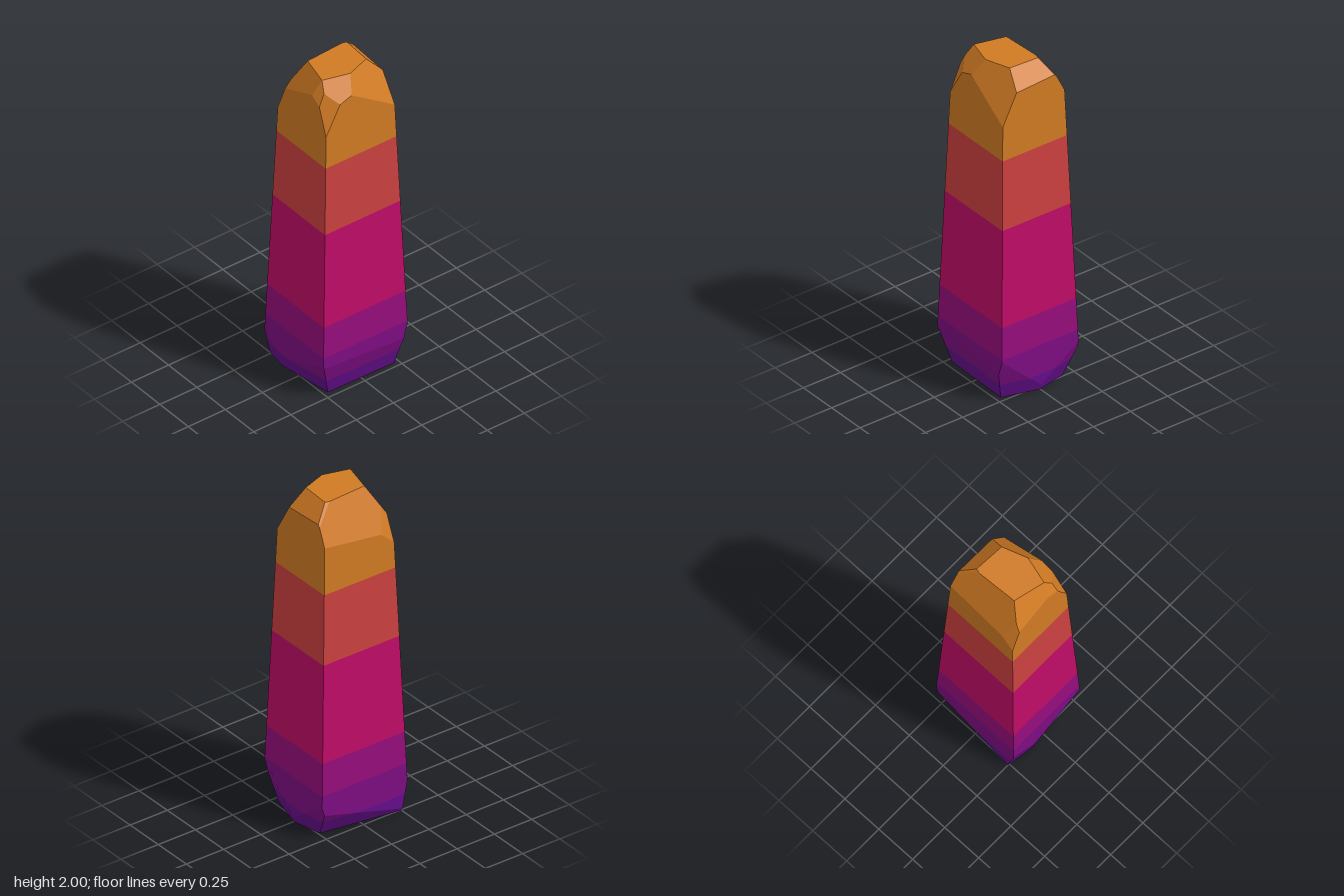
import * as THREE from 'three';

const V = (x, y, z) => new THREE.Vector3(x, y, z);

// Flat cuts: [heading in degrees (0 = +x, 90 = +z), upward lean, distance from the axis]
const SIDES = [ // measured at y = 0
  [90, 0.0308, 0.2665], [-90, 0.0324, 0.2632], [0, 0.0352, 0.2901], [180, 0.0351, 0.295],
];
const TIP_CHIPS = [ // measured at y = 2
  [-93.5, 0.48, 0.0928], [-72.2, 0.85, 0.1303], [3.1, 0.93, 0.1348],
  [70.7, 0.53, 0.1292], [105.1, 0.81, 0.142], [163.5, 0.524, 0.1962],
  [124.7, 0.357, 0.2071], [-166.4, 0.645, 0.1465], [-107.9, 0.366, 0.1497],
];
const BASE_CHIPS = [ // measured at y = 0
  [91, -0.237, 0.215], [15.6, -0.262, 0.2696], [-12.3, -0.28, 0.2729],
  [-81.3, -0.518, 0.2142], [-170.9, -0.2155, 0.2872], [171.8, -0.325, 0.2486],
];

// Colour bands from base to tip: part, colour name, colour, lower and upper height
const BANDS = [
  ['base', 'indigo', 0x640d8a, 0, 0.1],
  ['lowerBand', 'violet', 0x7d0d82, 0.1, 0.28],
  ['lowerShaft', 'purple', 0x960d7c, 0.28, 0.48],
  ['middleShaft', 'magenta', 0xbf0c66, 0.48, 1.08],
  ['upperShaft', 'coral', 0xcc4040, 1.08, 1.51],
  ['tip', 'amber', 0xd07a23, 1.51, 2],
];

// Outward plane of a cut whose distance is measured at height y
const cutAt = (y) => ([heading, lean, distance]) => {
  const a = THREE.MathUtils.degToRad(heading);
  const point = V(Math.cos(a) * distance, y, Math.sin(a) * distance);
  const normal = V(Math.cos(a), lean, Math.sin(a)).normalize();
  return new THREE.Plane().setFromNormalAndCoplanarPoint(normal, point);
};

// Keeps the part of a polygon behind a plane
function clip(poly, plane) {
  const out = [];
  poly.forEach((a, i) => {
    const b = poly[(i + 1) % poly.length];
    const da = plane.distanceToPoint(a), db = plane.distanceToPoint(b);
    if (da <= 1e-9) out.push(a);
    if ((da <= 1e-9) !== (db <= 1e-9)) out.push(a.clone().lerp(b, da / (da - db)));
  });
  return out;
}

// Large counter-clockwise square lying on a plane
function sheet(plane) {
  const n = plane.normal;
  const u = (Math.abs(n.y) < 0.9 ? V(0, 1, 0) : V(1, 0, 0)).cross(n).normalize();
  const v = n.clone().cross(u);
  const c = plane.projectPoint(V(0, 1, 0), V(0, 0, 0));
  return [[-4, -4], [4, -4], [4, 4], [-4, 4]].map(([a, b]) =>
    c.clone().addScaledVector(u, a).addScaledVector(v, b));
}

export function createModel() {
  const group = new THREE.Group();
  group.name = 'crystal';

  // Each facet is a plane trimmed by all the others
  const planes = [
    ...SIDES.map(cutAt(0)),
    ...TIP_CHIPS.map(cutAt(2)),
    ...BASE_CHIPS.map(cutAt(0)),
    new THREE.Plane(V(0, 1, 0), -2),
    new THREE.Plane(V(0, -1, 0), 0),
  ];
  const facets = planes.map((p) =>
    planes.reduce((poly, q) => (q === p ? poly : clip(poly, q)), sheet(p)));

  // One mesh per colour band
  for (const [name, colorName, color, low, high] of BANDS) {
    const top = new THREE.Plane(V(0, 1, 0), -high);
    const bottom = new THREE.Plane(V(0, -1, 0), low);
    const points = [];
    for (const facet of facets) {
      const poly = clip(clip(facet, top), bottom);
      for (let i = 1; i < poly.length - 1; i++) points.push(poly[0], poly[i], poly[i + 1]);
    }
    const geometry = new THREE.BufferGeometry().setFromPoints(points);
    geometry.computeVertexNormals();
    const material = new THREE.MeshStandardMaterial({ color });
    material.name = colorName;
    const mesh = new THREE.Mesh(geometry, material);
    mesh.name = name;
    group.add(mesh);
  }
  return group;
}
